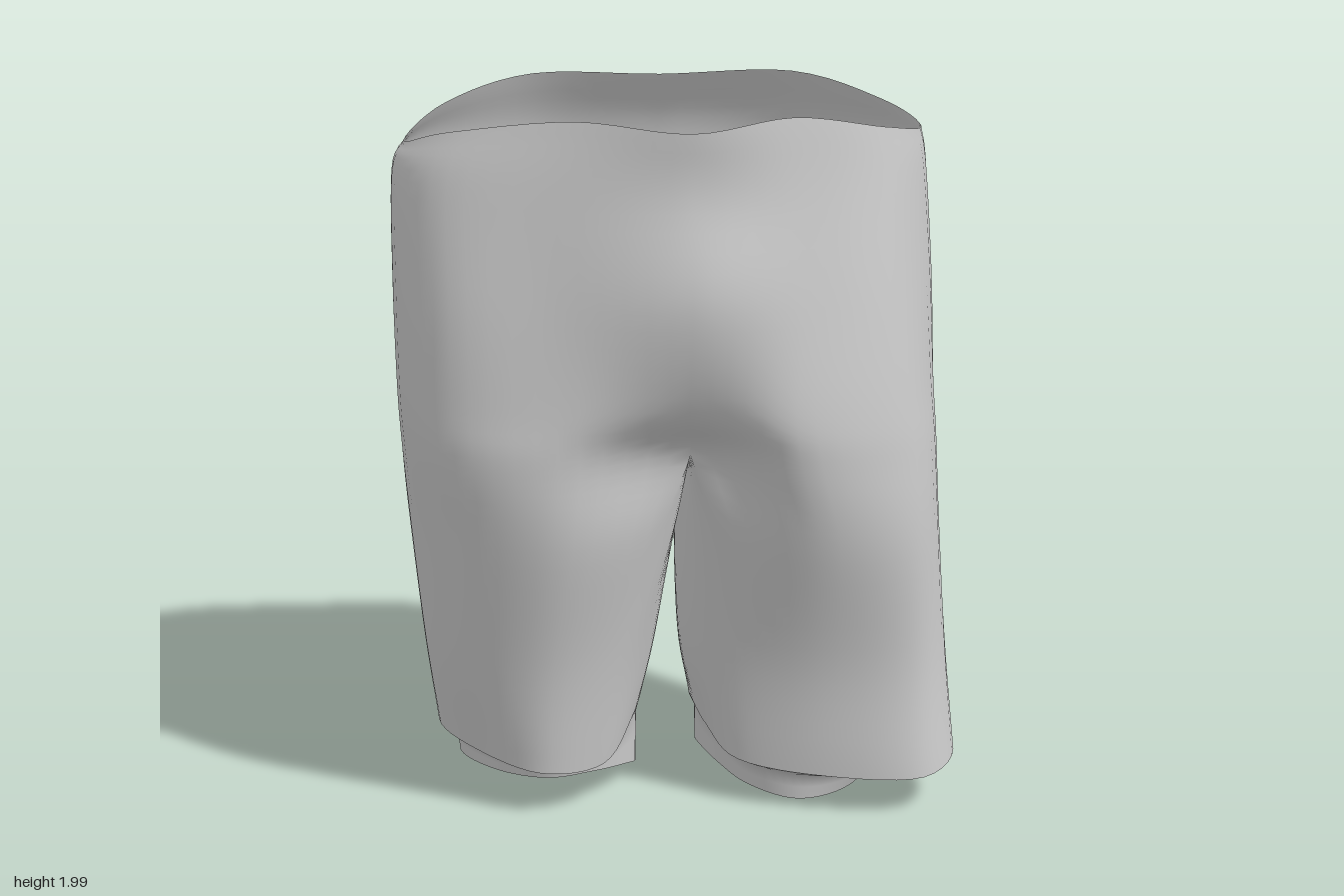
import * as THREE from 'three';
import { mergeVertices, mergeGeometries } from 'three/addons/utils/BufferGeometryUtils.js';

const STEP = 6; // subdivisions per control segment
const V = (x, y, z) => new THREE.Vector3(x, y, z);

// flat [x, z, x, z, ...] plus one height, or a height per point
const ring = (y, xz) => Array.from({ length: xz.length / 2 }, (_, i) =>
  V(xz[2 * i], Array.isArray(y) ? y[i] : y, xz[2 * i + 1]));

// smooth curve through the points, STEP points per segment
function spline(points, closed = false) {
  const n = (points.length - (closed ? 0 : 1)) * STEP;
  const curve = new THREE.CatmullRomCurve3(points, closed, 'catmullrom', 0.5);
  return Array.from({ length: n + 1 }, (_, i) => curve.getPoint(i / n));
}

// run a smooth curve down each column of the given rows
const columns = rows => rows[0].map((_, c) => spline(rows.map(r => r[c])));

// surface between neighbouring columns
function sheet(cols, flip) {
  const h = cols[0].length, pos = [], idx = [];
  cols.forEach(col => col.forEach(p => pos.push(p.x, p.y, p.z)));
  for (let c = 0; c < cols.length - 1; c++) {
    for (let r = 0; r < h - 1; r++) {
      const a = c * h + r, b = a + 1, e = a + h, d = e + 1;
      if (flip) idx.push(a, d, b, a, e, d);
      else idx.push(a, b, d, a, d, e);
    }
  }
  const g = new THREE.BufferGeometry();
  g.setAttribute('position', new THREE.Float32BufferAttribute(pos, 3));
  g.setIndex(idx);
  return g;
}

// Torso rings: front centre, round the left side, back centre, round the right side
const torso = [
  ring([1.97, 2, 1.95, 1.9, 1.93, 1.99, 1.98, 1.99, 1.94, 1.88, 1.94, 1.99],
    [0, .57, .27, .51, .53, .37, .68, .05, .62, -.24, .38, -.42, 0, -.46,
      -.37, -.43, -.62, -.24, -.74, .05, -.62, .3, -.3, .47]),
  ring(1.8, [0, .56, .3, .51, .56, .37, .7, .02, .63, -.32, .36, -.53, 0, -.555,
    -.36, -.53, -.65, -.32, -.775, .04, -.67, .32, -.34, .48]),
  ring(1.5, [0, .595, .3, .54, .58, .41, .72, .02, .63, -.34, .34, -.56, 0, -.56,
    -.3, -.585, -.64, -.38, -.78, .05, -.67, .37, -.35, .5]),
  ring(1.22, [0, .51, .28, .565, .6, .44, .725, .04, .62, -.26, .34, -.46, .01, -.36,
    -.33, -.48, -.63, -.34, -.775, .05, -.67, .38, -.35, .51]),
  ring(1.06, [.015, .36, .3, .55, .62, .44, .73, .06, .62, -.22, .35, -.41, .01, -.2,
    -.34, -.45, -.63, -.3, -.768, .04, -.66, .38, -.35, .505]),
];

// Leg rings: inner front, five outer points, inner back, three inseam points
const legs = {
  left: {
    rings: [
      ring(.83, [.1, .36, .36, .51, .64, .43, .735, .1, .62, -.19, .38, -.35, .13, -.26,
        .03, -.14, 0, .02, .02, .21]),
      ring(.45, [.14, .3, .38, .4, .66, .385, .757, .16, .65, -.12, .4, -.27, .15, -.23,
        .04, -.12, .01, 0, .03, .17]),
      ring([.14, .12, .12, .15, .15, .12, .13, .18, .23, .2],
        [.16, .27, .4, .37, .67, .4, .78, .22, .66, -.08, .42, -.24, .17, -.23,
          .07, -.14, .05, -.02, .08, .14]),
    ],
    lining: ring([.03, .01, .02, .06, .1, .07, .02, .03, .07, .05],
      [.2, .19, .34, .26, .5, .18, .61, -.03, .56, -.15, .42, -.23, .2, -.23,
        .1, -.17, .07, -.08, .12, .05]),
  },
  right: {
    rings: [
      ring(.83, [-.07, .34, -.36, .48, -.64, .34, -.752, .02, -.64, -.27, -.38, -.41,
        -.11, -.31, -.02, -.17, -.005, 0, -.01, .2]),
      ring(.45, [-.18, .31, -.4, .38, -.62, .26, -.715, 0, -.62, -.28, -.38, -.41,
        -.15, -.35, -.07, -.19, -.055, -.03, -.08, .16]),
      ring([.14, .14, .17, .18, .18, .18, .17, .21, .26, .23],
        [-.22, .27, -.4, .33, -.58, .2, -.68, -.02, -.6, -.28, -.4, -.4,
          -.19, -.36, -.11, -.2, -.09, -.04, -.13, .14]),
    ],
    lining: ring([.11, .11, .1, .09, .08, .08, .05, .03, .03, .07],
      [-.25, .25, -.38, .29, -.52, .19, -.62, 0, -.57, -.22, -.46, -.32, -.27, -.28,
        -.16, -.18, -.11, -.04, -.15, .1]),
  },
};

// saddle from back centre to front centre
const base = torso[4];
const crotch = spline([base[6], V(.01, 1, -.06), V(.02, .97, .08), V(.02, 1, .22), base[0]]);

function createModel() {
  const group = new THREE.Group();
  group.name = 'shorts';
  const material = new THREE.MeshStandardMaterial({ color: 0xcccccc, side: THREE.DoubleSide });
  const add = (name, geometry) => {
    geometry.computeVertexNormals();
    const mesh = new THREE.Mesh(geometry, material);
    mesh.name = name;
    group.add(mesh);
  };

  const half = 6 * STEP;
  const torsoRows = torso.map(r => spline(r, true));
  const cloth = [];
  for (const [side, { rings, lining }] of Object.entries(legs)) {
    const flip = side === 'right';
    const legRows = rings.map(r => spline(r, true));

    // outer panel, waist to hem
    const upper = torsoRows.map(r => flip ? r.slice(half).reverse() : r.slice(0, half + 1));
    const outer = columns([...upper, ...legRows.map(r => r.slice(0, half + 1))]);

    // inseam panel, crotch to hem, sharing its edges with the outer panel
    const inner = columns([crotch, ...legRows.map(r => r.slice(half))]);
    const below = col => col.slice((torso.length - 1) * STEP);
    inner[0] = below(outer[half]);
    inner[inner.length - 1] = below(outer[0]);
    cloth.push(sheet(outer, flip), sheet(inner, flip));

    // hem turned under, with the lining hanging below it
    const hem = legRows[2], edge = spline(lining, true);
    const fold = edge.map((p, i) =>
      V(p.x, THREE.MathUtils.lerp(hem[i].y, p.y, .35), p.z).lerp(hem[i], .12));
    const turned = hem.map((p, i) => [p, fold[i], fold[i].clone().lerp(edge[i], .5), edge[i]]);
    add(side + 'HemLining', mergeVertices(sheet(turned, flip), 1e-4));
  }
  add('shortsCloth', mergeVertices(mergeGeometries(cloth), 1e-4));
  return group;
}

export { createModel };
